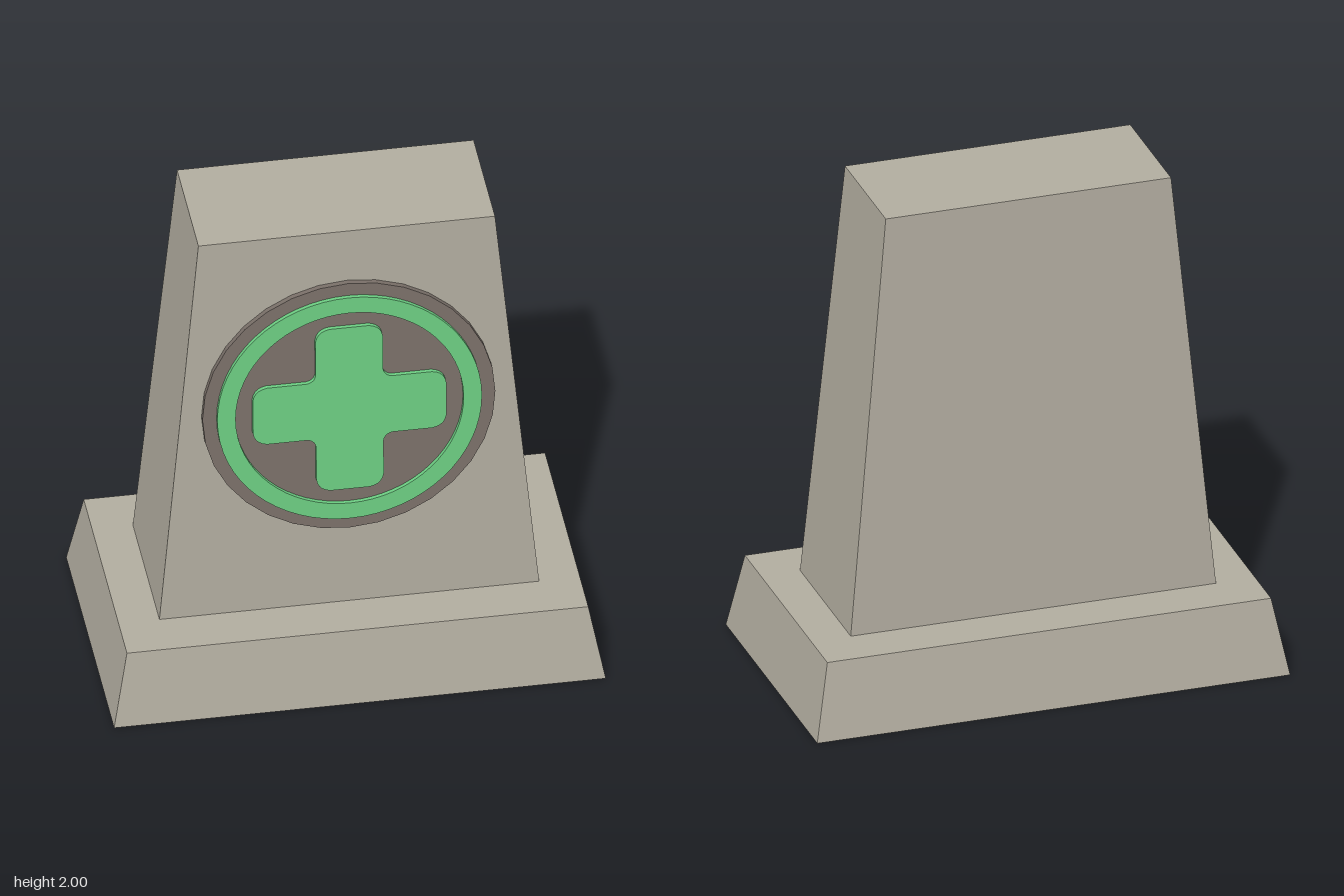
import * as THREE from 'three';

const stone = new THREE.MeshStandardMaterial({ color: 0xb1ac9f });
stone.name = 'stone';
const darkStone = new THREE.MeshStandardMaterial({ color: 0x7a7069 });
darkStone.name = 'dark stone';
const green = new THREE.MeshStandardMaterial({ color: 0x6ccd82 });
green.name = 'green';

function addMesh(parent, name, geometry, material) {
  const mesh = new THREE.Mesh(geometry, material);
  mesh.name = name;
  parent.add(mesh);
  return mesh;
}

// Box from y0 to y1 whose half sizes change from bottom [x, z] to top [x, z]
function taperedBox(y0, y1, bottom, top) {
  const geometry = new THREE.BoxGeometry(2, 1, 2);
  const p = geometry.attributes.position;
  for (let i = 0; i < p.count; i++) {
    const upper = p.getY(i) > 0;
    const [hx, hz] = upper ? top : bottom;
    p.setXYZ(i, p.getX(i) * hx, upper ? y1 : y0, p.getZ(i) * hz);
  }
  geometry.computeVertexNormals();
  return geometry;
}

function circle(radius, Type = THREE.Shape) {
  const path = new Type();
  path.absarc(0, 0, radius, 0, Math.PI * 2, false);
  return path;
}

// Plus sign with rounded outer and inner corners
function crossShape(w, l, r, inner) {
  const shape = new THREE.Shape();
  shape.moveTo(l, 0);
  for (let k = 0; k < 4; k++) {
    const a = k * Math.PI / 2;
    const c = Math.round(Math.cos(a)), s = Math.round(Math.sin(a));
    const at = (x, y) => [x * c - y * s, x * s + y * c];
    shape.lineTo(...at(l, w - r));
    shape.quadraticCurveTo(...at(l - r * 0.12, w - r * 0.12), ...at(l - r, w));
    shape.lineTo(...at(w + inner, w));
    shape.quadraticCurveTo(...at(w + inner * 0.12, w + inner * 0.12), ...at(w, w + inner));
    shape.lineTo(...at(w, l - r));
    shape.quadraticCurveTo(...at(w - r * 0.12, l - r * 0.12), ...at(w - r, l));
  }
  shape.closePath();
  return shape;
}

function plate(shape, depth, curveSegments) {
  return new THREE.ExtrudeGeometry(shape, { depth, curveSegments, bevelEnabled: false });
}

export function createModel() {
  const model = new THREE.Group();
  model.name = 'monument';

  // Plinth and tapering slab
  addMesh(model, 'base', taperedBox(0, 0.305, [0.94, 0.545], [0.882, 0.491]), stone);
  addMesh(model, 'pillar', taperedBox(0.305, 2, [0.726, 0.302], [0.567, 0.243]), stone);

  // Emblem lies on the sloping front face
  const emblem = new THREE.Group();
  emblem.name = 'emblem';
  emblem.position.set(0, 1.215, 0.27);
  emblem.rotation.x = -Math.atan2(0.059, 1.695);
  model.add(emblem);

  const disc = addMesh(emblem, 'disc', plate(circle(0.56), 0.035, 16), darkStone);
  disc.position.z = -0.012;

  const ringShape = circle(0.506);
  ringShape.holes.push(circle(0.436, THREE.Path));
  const ring = addMesh(emblem, 'ring', plate(ringShape, 0.03, 32), green);
  ring.position.z = 0.01;

  const cross = addMesh(emblem, 'cross', plate(crossShape(0.129, 0.37, 0.055, 0.035), 0.03, 5), green);
  cross.position.z = 0.01;

  return model;
}
